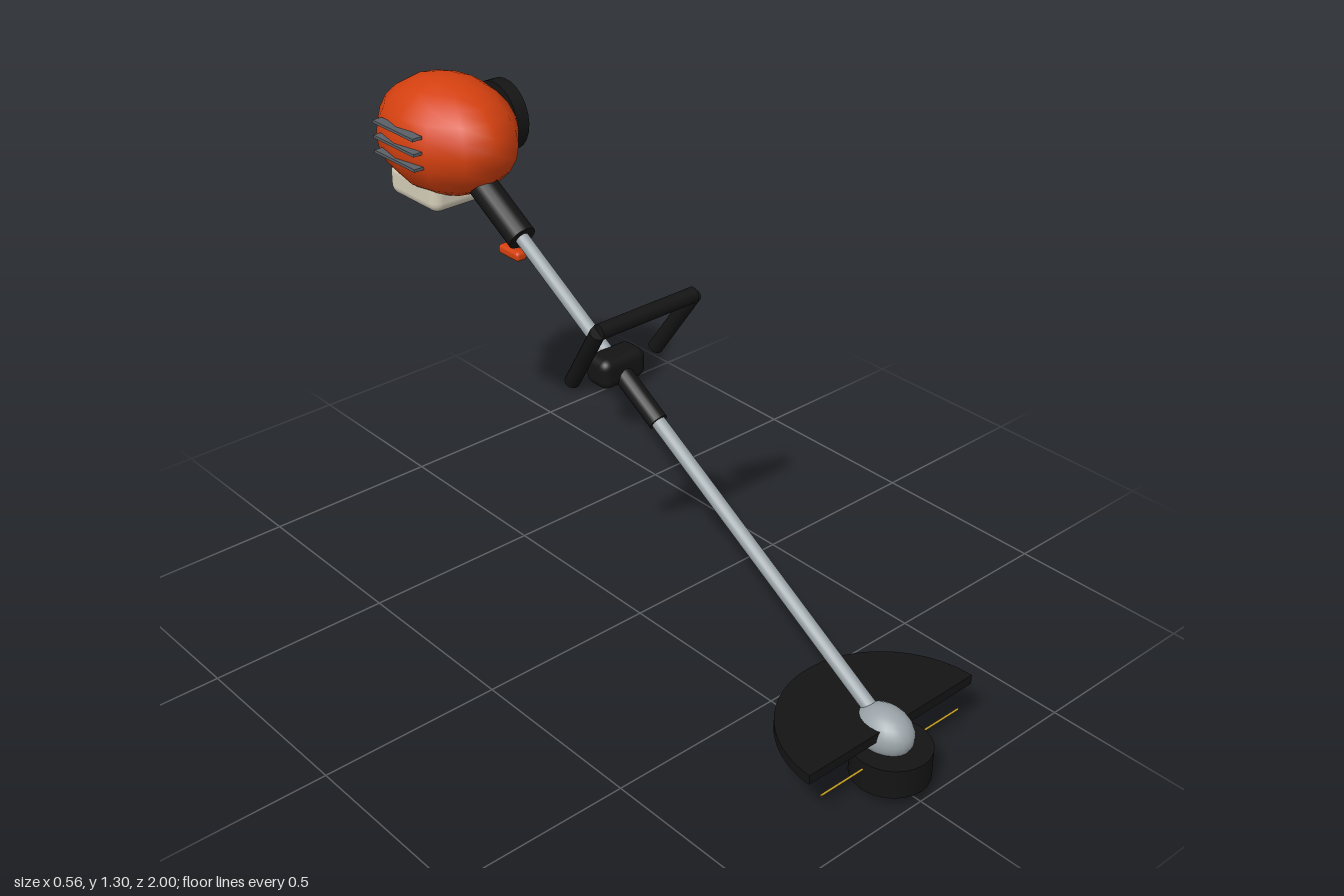
import * as THREE from 'three';
import { RoundedBoxGeometry } from 'three/addons/geometries/RoundedBoxGeometry.js';

const mat = (name, color) => Object.assign(new THREE.MeshStandardMaterial({ color }), { name });

export function createModel() {
  const orange = mat('orange', 0xd4400f);
  const black = mat('black', 0x141414);
  const metal = mat('metal', 0x9aa3a8);
  const darkMetal = mat('dark metal', 0x5a6066);
  const cream = mat('cream', 0xd3ccb8);
  const yellow = mat('line yellow', 0xc8a020);
  const group = new THREE.Group();
  group.name = 'stringTrimmer';

  const add = (name, geometry, material, x = 0, y = 0, z = 0) => {
    const mesh = new THREE.Mesh(geometry, material);
    mesh.name = name;
    mesh.position.set(x, y, z);
    group.add(mesh);
    return mesh;
  };
  // Cylinder between two points
  const rod = (name, a, b, radius, material, sides = 16) => {
    const from = new THREE.Vector3(...a), to = new THREE.Vector3(...b);
    const dir = to.clone().sub(from);
    const mid = from.clone().add(to).multiplyScalar(0.5);
    const mesh = add(name, new THREE.CylinderGeometry(radius, radius, dir.length(), sides), material, mid.x, mid.y, mid.z);
    mesh.quaternion.setFromUnitVectors(new THREE.Vector3(0, 1, 0), dir.normalize());
    return mesh;
  };
  // Point on the shaft axis at a given z
  const onShaft = (z) => [0, 0.148 + (0.87 - z) * 0.596, z];

  // Shaft and grips
  rod('shaft', onShaft(0.87), onShaft(-0.65), 0.019, metal);
  rod('rearGrip', onShaft(-0.465), onShaft(-0.66), 0.04, black);
  rod('middleGrip', onShaft(0.07), onShaft(-0.1), 0.026, black);
  add('trigger', new RoundedBoxGeometry(0.035, 0.027, 0.085, 2, 0.01), orange, 0, 0.89, -0.508);

  // Handle
  add('handleClamp', new RoundedBoxGeometry(0.142, 0.082, 0.085, 3, 0.025), black, 0, 0.721, -0.093);
  rod('handleBar', [-0.155, 0.913, 0.025], [0.155, 0.913, 0.025], 0.021, black);
  for (const s of [-1, 1]) {
    rod('handlePost', [s * 0.157, 0.912, 0.025], [s * 0.139, 0.722, -0.098], 0.02, black);
  }

  // Engine
  add('engineHousing', new THREE.SphereGeometry(1, 12, 12), orange, 0, 1.144, -0.775).scale.set(0.175, 0.16, 0.224);
  add('fuelTank', new RoundedBoxGeometry(0.21, 0.095, 0.215, 3, 0.03), cream, 0, 1.002, -0.81);
  rod('starterCover', [0.153, 1.15, -0.77], [0.194, 1.15, -0.77], 0.1, black, 24);
  for (const y of [1.114, 1.156, 1.198]) {
    add('coolingFin', new THREE.BoxGeometry(0.03, 0.008, 0.18), darkMetal, -0.165, y, -0.767);
  }

  // Cutting head
  add('gearHead', new THREE.SphereGeometry(1, 20, 14), metal, 0, 0.138, 0.873).scale.set(0.062, 0.062, 0.082);
  add('spool', new THREE.CylinderGeometry(0.1, 0.1, 0.08, 24), black, 0, 0.07, 0.9);
  add('spoolKnob', new THREE.CylinderGeometry(0.037, 0.037, 0.04, 16), black, 0, 0.02, 0.9);
  rod('cuttingLine', [-0.238, 0.089, 0.9], [0.238, 0.089, 0.9], 0.003, yellow, 6);

  // Half-disc guard
  const half = new THREE.Shape();
  half.absarc(0, 0, 0.28, 0, Math.PI, false);
  half.closePath();
  const guard = new THREE.ExtrudeGeometry(half, { depth: 0.026, bevelEnabled: false, curveSegments: 20 });
  guard.rotateX(-Math.PI / 2);
  add('guard', guard, black, 0, 0.145, 0.9);

  return group;
}
